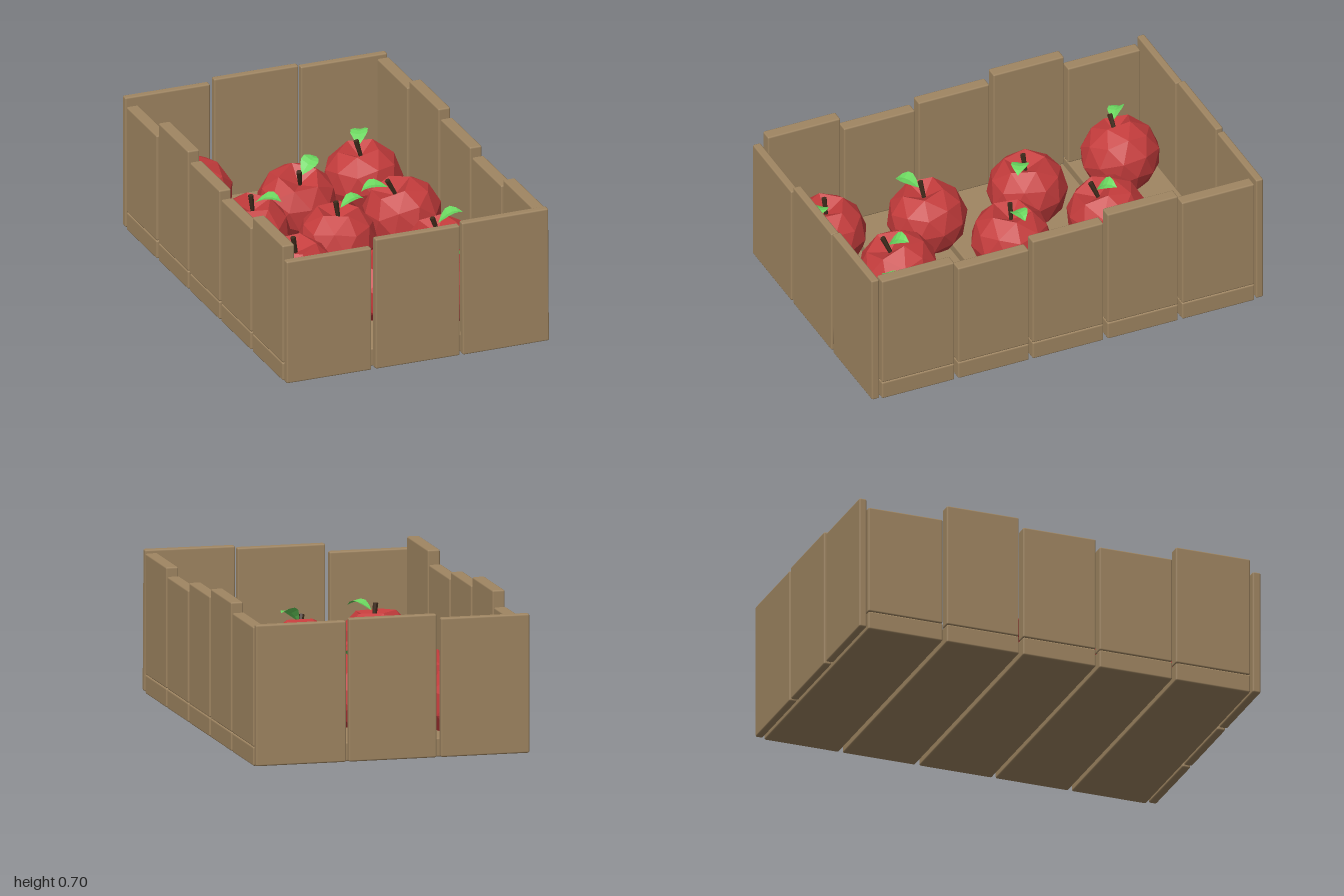
import * as THREE from 'three';
import { RoundedBoxGeometry } from 'three/addons/geometries/RoundedBoxGeometry.js';

const paint = (color, extra = {}) => new THREE.MeshStandardMaterial({ color, ...extra });

// Low-poly apple body: an icosphere with a pole on top, dented at both ends
function appleGeometry() {
  const geo = new THREE.IcosahedronGeometry(1, 1).rotateZ(Math.atan(2 / (1 + Math.sqrt(5))));
  const p = geo.attributes.position;
  for (let i = 0; i < p.count; i++) {
    const x = p.getX(i), y = p.getY(i), z = p.getZ(i);
    const pole = Math.hypot(x, z) < 0.1;
    const taper = y < 0 ? 1 + 0.08 * y : 1;
    const height = pole ? (y > 0 ? 0.11 : -0.15) : y * 0.188;
    p.setXYZ(i, x * 0.19 * taper, height, z * 0.19 * taper);
  }
  geo.computeVertexNormals();
  return geo;
}

// Pointed leaf along +x, arched lengthwise and folded along the midrib
function leafGeometry() {
  const geo = new THREE.PlaneGeometry(0.125, 0.085, 5, 2).rotateX(-Math.PI / 2);
  const p = geo.attributes.position;
  for (let i = 0; i < p.count; i++) {
    const t = p.getX(i) / 0.125 + 0.5;
    const z = p.getZ(i) * Math.sin(Math.PI * t);
    p.setXYZ(i, 0.015 + t * 0.125, 0.04 * Math.sin(Math.PI * t * 0.8) + Math.abs(z) * 0.25 - 0.015, z);
  }
  geo.computeVertexNormals();
  return geo;
}

export function createModel() {
  const model = new THREE.Group();
  const wood = paint(0xa08662);
  const red = paint(0xc43c3c, { flatShading: true });
  const brown = paint(0x3f2b1c, { flatShading: true });
  const green = paint(0x6bd65f, { flatShading: true, side: THREE.DoubleSide });

  // Plank given by its minimum and maximum corners
  function plank(name, [x0, y0, z0], [x1, y1, z1], roll = 0) {
    const mesh = new THREE.Mesh(new RoundedBoxGeometry(x1 - x0, y1 - y0, z1 - z0, 1, 0.008), wood);
    mesh.position.set((x0 + x1) / 2, (y0 + y1) / 2, (z0 + z1) / 2);
    mesh.rotation.z = roll;
    mesh.name = name;
    model.add(mesh);
  }

  // Floor planks with a side plank standing on each end: [z start, z end, right top, left top]
  const rows = [
    [-0.955, -0.585, 0.62, 0.655],
    [-0.565, -0.205, 0.695, 0.7],
    [-0.185, 0.177, 0.65, 0.66],
    [0.195, 0.557, 0.615, 0.62],
    [0.575, 0.945, 0.68, 0.66],
  ];
  for (const [z0, z1, rightTop, leftTop] of rows) {
    plank('floorPlank', [-0.657, 0, z0], [0.657, 0.09, z1]);
    plank('rightSidePlank', [-0.657, 0.09, z0], [-0.597, rightTop, z1]);
    plank('leftSidePlank', [0.597, 0.09, z0], [0.657, leftTop, z1]);
  }

  // End planks: [x start, x end, front top, back top, front roll]
  const ends = [
    [-0.657, -0.232, 0.62, 0.66, 0],
    [-0.212, 0.21, 0.66, 0.68, 0],
    [0.222, 0.655, 0.672, 0.67, 0.006],
  ];
  for (const [x0, x1, front, back, roll] of ends) {
    plank('frontPlank', [x0, 0.006, 0.957], [x1, front, 0.997], roll);
    plank('backPlank', [x0, 0.006, -1], [x1, back, -0.963]);
  }

  // Apples: [x, z, lean x, lean z, leaf direction x, leaf direction z]
  const apples = [
    [-0.4, -0.76, -0.06, 0.015, -8, -8],
    [0.395, -0.635, -0.02, 0, 6, -11],
    [0.01, -0.5, -0.01, 0.06, 11, -8],
    [-0.325, -0.25, 0, 0.015, 11, 8],
    [0.405, -0.18, -0.055, 0, -13, -4],
    [0.01, -0.01, 0, 0, 15, -1],
    [-0.315, 0.265, -0.01, 0.02, -13, 9],
    [0.395, 0.315, -0.03, 0.005, 13, 2],
    [0.01, 0.56, -0.01, 0.06, 11, -8],
    [-0.395, 0.74, 0.005, 0.01, 11, 10],
    [0.395, 0.74, -0.015, -0.005, -16, 0],
  ];
  const bodyGeo = appleGeometry();
  const leafGeo = leafGeometry();
  const stemGeo = new THREE.CylinderGeometry(0.013, 0.009, 0.1, 6);
  const up = new THREE.Vector3(0, 1, 0);
  apples.forEach(([x, z, leanX, leanZ, dx, dz], i) => {
    const apple = new THREE.Group();
    apple.name = 'apple';
    apple.position.set(x, 0.212, z);
    apple.quaternion.setFromUnitVectors(up, new THREE.Vector3(leanX, 0.15, leanZ).normalize());

    const body = new THREE.Mesh(bodyGeo, red);
    body.name = 'appleBody';
    body.rotation.y = i * 1.1;

    const stem = new THREE.Mesh(stemGeo, brown);
    stem.name = 'stem';
    stem.position.y = 0.15;
    stem.rotation.z = 0.15;

    const leaf = new THREE.Mesh(leafGeo, green);
    leaf.name = 'leaf';
    leaf.position.y = 0.178;
    leaf.rotation.y = Math.atan2(-dz, dx);

    apple.add(body, stem, leaf);
    model.add(apple);
  });

  return model;
}
